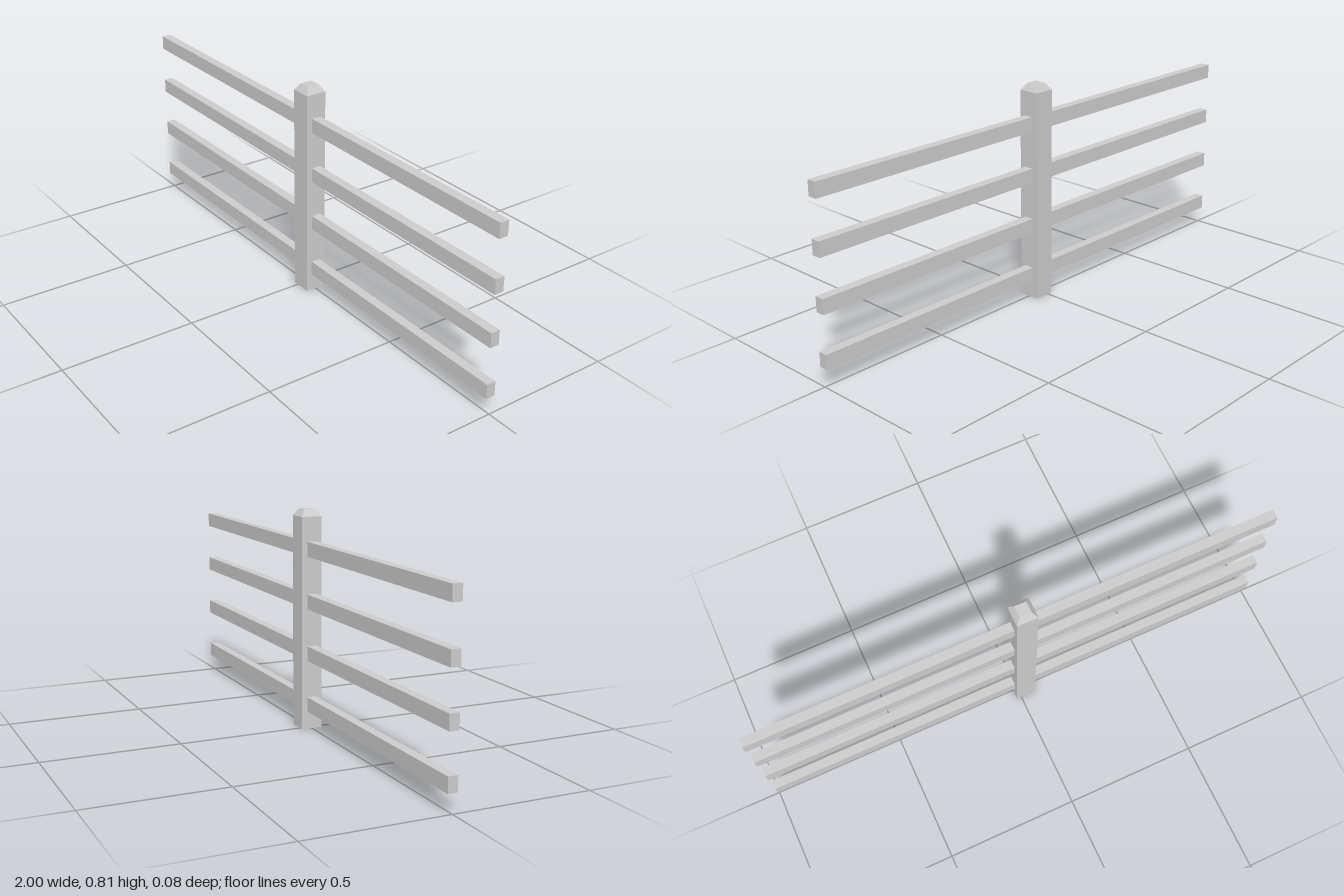
import * as THREE from 'three';

const material = new THREE.MeshStandardMaterial({ color: 0xcccccc, flatShading: true });

export function createModel() {
  const model = new THREE.Group();
  model.name = 'fenceSection';

  // Square post with a chamfered top: [half width, height] profile turned in four sides
  const profile = [[0, 0], [0.039, 0], [0.039, 0.78], [0.022, 0.805], [0, 0.805]]
    .map(([half, y]) => new THREE.Vector2(half * Math.SQRT2, y));
  const post = new THREE.Mesh(new THREE.LatheGeometry(profile, 4, Math.PI / 4), material);
  post.name = 'post';
  post.position.x = 0.021;
  model.add(post);

  // Four evenly spaced rails running through the post
  const railGeometry = new THREE.BoxGeometry(2, 0.054, 0.035);
  for (let i = 0; i < 4; i++) {
    const rail = new THREE.Mesh(railGeometry, material);
    rail.name = `rail${i + 1}`;
    rail.position.y = 0.092 + i * 0.1907;
    model.add(rail);
  }

  return model;
}
